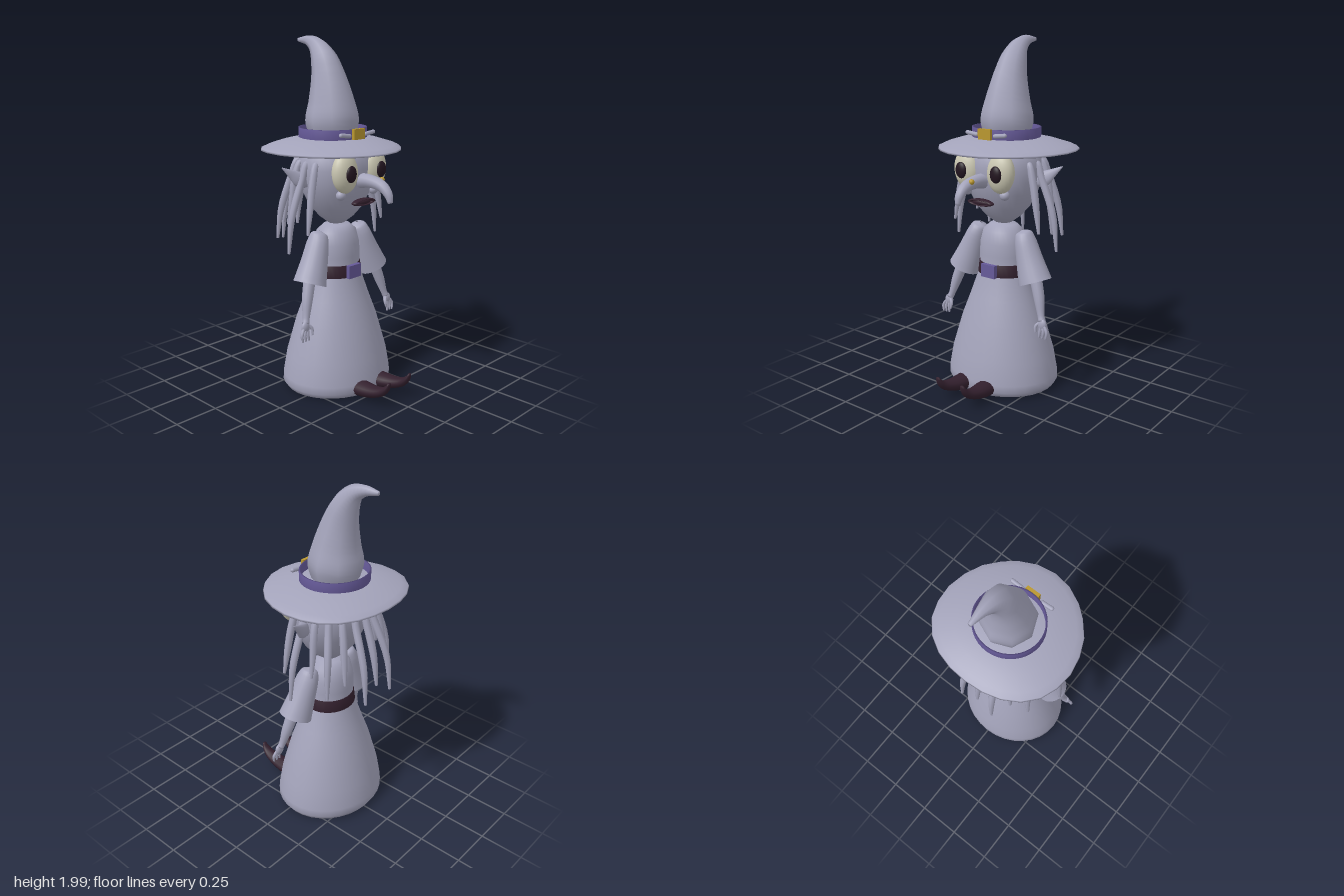
import * as THREE from 'three';

const V = (x, y, z) => new THREE.Vector3(x, y, z);
const paint = (name, color) => {
  const m = new THREE.MeshStandardMaterial({ color, side: THREE.DoubleSide });
  m.name = name;
  return m;
};

// Skin between matching rings of points, optionally closed at both ends
function skin(rings, capped = true) {
  const n = rings[0].length, pos = [], idx = [];
  rings.forEach(r => r.forEach(p => pos.push(p.x, p.y, p.z)));
  for (let i = 0; i < rings.length - 1; i++) {
    for (let j = 0; j < n; j++) {
      const k = (j + 1) % n, a = i * n + j, b = i * n + k;
      idx.push(a, b, a + n, b, b + n, a + n);
    }
  }
  if (capped) {
    [0, rings.length - 1].forEach((row, end) => {
      const c = rings[row].reduce((s, p) => s.add(p), V(0, 0, 0)).divideScalar(n);
      const ci = pos.length / 3;
      pos.push(c.x, c.y, c.z);
      for (let j = 0; j < n; j++) {
        const a = row * n + j, b = row * n + (j + 1) % n;
        if (end) idx.push(ci, a, b); else idx.push(ci, b, a);
      }
    });
  }
  const g = new THREE.BufferGeometry();
  g.setAttribute('position', new THREE.Float32BufferAttribute(pos, 3));
  g.setIndex(idx);
  g.computeVertexNormals();
  return g;
}

// Tapered tube through stations [x, y, z, radius, second radius]
function loft(stations, { sides = 12, steps = 16, ref = V(1, 0, 0), capped = true } = {}) {
  const path = new THREE.CatmullRomCurve3(stations.map(s => V(s[0], s[1], s[2])));
  const size = new THREE.CatmullRomCurve3(stations.map(s => V(s[3], s[4] ?? s[3], 0)), false, 'catmullrom');
  const rings = [];
  for (let i = 0; i <= steps; i++) {
    const p = path.getPoint(i / steps), t = path.getTangent(i / steps), r = size.getPoint(i / steps);
    const u = ref.clone().addScaledVector(t, -ref.dot(t)).normalize();
    const v = t.clone().cross(u);
    rings.push(Array.from({ length: sides }, (_, j) => {
      const a = j / sides * Math.PI * 2;
      return p.clone().addScaledVector(u, Math.cos(a) * r.x).addScaledVector(v, Math.sin(a) * r.y);
    }));
  }
  return skin(rings, capped);
}

const lathe = (pts, sides = 32) =>
  new THREE.LatheGeometry(pts.map(p => new THREE.Vector2(p[0], p[1])), sides);
const ball = (rx, ry, rz) => new THREE.SphereGeometry(1, 24, 16).scale(rx, ry, rz);

export function createModel() {
  const root = new THREE.Group();
  root.name = 'witch';
  const grey = paint('lavender grey', 0xa3a3ba), dark = paint('dark plum', 0x33202e);
  const purple = paint('purple', 0x665a99), gold = paint('gold', 0xb9972f);
  const cream = paint('cream', 0xcac7b2), black = paint('pupil black', 0x22151f);
  const add = (name, geo, mat, x = 0, y = 0, z = 0) => {
    const m = new THREE.Mesh(geo, mat);
    m.name = name;
    m.position.set(x, y, z);
    root.add(m);
    return m;
  };

  // Dress and belt
  add('dress', lathe([[0, 0.005], [0.2, 0.005], [0.315, 0.01], [0.335, 0.04], [0.332, 0.08], [0.31, 0.2],
    [0.25, 0.4], [0.2, 0.53], [0.153, 0.66], [0.14, 0.72], [0.143, 0.78], [0.138, 0.85], [0.12, 0.92],
    [0.08, 0.955], [0, 0.967]]).scale(1, 1, 0.88), grey, 0, 0, -0.053);
  add('belt', lathe([[0.14, 0.665], [0.153, 0.665], [0.145, 0.735], [0.13, 0.735]]).scale(1, 1, 0.88),
    dark, 0, 0, -0.053);
  add('beltBuckle', new THREE.BoxGeometry(0.095, 0.075, 0.025), purple, 0, 0.7, 0.085);

  // Head
  add('head', lathe([[0, 0.953], [0.05, 0.965], [0.105, 1.005], [0.16, 1.065], [0.205, 1.15], [0.225, 1.22],
    [0.231, 1.29], [0.222, 1.36], [0.18, 1.41], [0, 1.43]]).scale(1, 1, 0.88), grey, 0, 0, -0.05);
  add('nose', loft([[0, 1.225, 0.11, 0.045], [0, 1.232, 0.2, 0.037], [0, 1.215, 0.29, 0.031],
    [0, 1.175, 0.335, 0.024], [0, 1.13, 0.35, 0.014]]), grey);
  add('noseWart', ball(0.015, 0.015, 0.015), gold, 0.027, 1.245, 0.265);

  // Mouth
  const lips = new THREE.TorusGeometry(1, 0.28, 10, 28).scale(0.068, 0.015, 0.07);
  add('lips', lips, dark, 0, 1.11, 0.155);
  add('mouth', ball(0.075, 0.02, 0.025), dark, 0, 1.11, 0.145);

  // Hair strands around the sides and back
  const lengths = [0.95, 0.84, 0.98, 0.88, 0.95, 0.83, 0.9];
  for (let i = 0; i < 13; i++) {
    const a = THREE.MathUtils.degToRad(75 + i * 17.5);
    const end = lengths[(i < 7 ? i : 12 - i)];
    const at = (r, y, w) => [Math.sin(a) * r, y, -0.055 + Math.cos(a) * r, w];
    const reach = 0.27 + (0.98 - end) * 0.4;
    add('hairStrand', loft([at(0.17, 1.3, 0.014), at(0.215, 1.325, 0.018), at(0.25, 1.24, 0.021),
      at(reach, (1.24 + end) / 2, 0.019), at(reach + 0.025, end, 0.008)],
    { sides: 8, steps: 14, ref: V(Math.cos(a), 0, -Math.sin(a)) }), grey);
  }

  // Hat brim: egg-shaped outline, front to back
  const half = [[0, 0.315], [0.105, 0.298], [0.202, 0.25], [0.268, 0.195], [0.338, 0.112], [0.38, 0.015],
    [0.4, -0.09], [0.39, -0.19], [0.357, -0.28], [0.29, -0.357], [0.202, -0.408], [0.105, -0.435], [0, -0.443]];
  const outline = [...half, ...half.slice(1, -1).reverse().map(p => [-p[0], p[1]])];
  const brimRings = [[0.3, 1.41], [0.7, 1.398], [0.96, 1.381], [1, 1.385], [0.99, 1.394], [0.9, 1.41],
    [0.7, 1.434], [0.48, 1.452], [0.2, 1.46]];
  add('hatBrim', skin(brimRings.map(([s, y]) =>
    outline.map(([x, z]) => V(x * s, y, -0.085 + (z + 0.085) * s)))), grey);

  // Hat cone bending backwards, band and ornaments
  add('hatCone', loft([[0, 1.44, -0.085, 0.125], [0, 1.54, -0.085, 0.15], [0, 1.65, -0.092, 0.127],
    [0, 1.78, -0.115, 0.096], [0, 1.87, -0.147, 0.075], [0, 1.94, -0.2, 0.05],
    [0, 1.97, -0.265, 0.03], [0, 1.975, -0.35, 0.011]], { sides: 8, steps: 28 }), grey);
  add('hatBand', lathe([[0.187, 1.445], [0.196, 1.445], [0.196, 1.505], [0.187, 1.505], [0.187, 1.445]], 40)
    .scale(1, 1, 0.96), purple, 0, 0, -0.08);
  add('hatBuckle', new THREE.BoxGeometry(0.083, 0.058, 0.018), gold, 0, 1.48, 0.117);

  for (const s of [1, -1]) {
    const side = s > 0 ? 'left' : 'right';
    const pair = (name, geo, mat, x, y, z) => add(side + name, geo, mat, s * x, y, z);
    const limb = (name, pts, mat, opts) => add(side + name, loft(pts.map(p => [s * p[0], ...p.slice(1)]), opts), mat);

    // Hat bones
    const bone = pair('HatBone', new THREE.CapsuleGeometry(0.012, 0.065, 6, 10), grey, 0.095, 1.477, 0.108);
    bone.rotation.z = s * (-Math.PI / 2 + 0.12);

    // Eyes, cheeks and ears
    const eye = pair('Eye', ball(0.083, 0.112, 0.058), cream, 0.115, 1.28, 0.125);
    eye.rotation.z = -s * 0.08;
    pair('Pupil', ball(0.037, 0.046, 0.02), black, 0.119, 1.28, 0.176);
    pair('CheekWart', ball(0.028, 0.027, 0.027), grey, 0.13, 1.157, 0.11);
    limb('Ear', [[0.2, 1.22, -0.07, 0.018, 0.03], [0.25, 1.235, -0.08, 0.02, 0.045],
      [0.3, 1.27, -0.095, 0.013, 0.025], [0.355, 1.31, -0.11, 0.002, 0.003]], grey, { ref: V(0, 0, 1) });

    // Sleeve and arm
    limb('Sleeve', [[0.15, 0.94, -0.035, 0.008], [0.155, 0.925, -0.035, 0.045], [0.172, 0.875, -0.03, 0.06, 0.065],
      [0.21, 0.77, -0.02, 0.077, 0.077], [0.254, 0.66, -0.01, 0.096, 0.092]], grey, { sides: 20, capped: false });
    limb('Arm', [[0.235, 0.76, -0.015, 0.034], [0.27, 0.66, 0, 0.034], [0.3, 0.57, 0.015, 0.03],
      [0.322, 0.49, 0.03, 0.02], [0.333, 0.46, 0.037, 0.02]], grey);

    // Hand with three fingers and a thumb
    pair('Palm', ball(0.028, 0.034, 0.017), grey, 0.338, 0.443, 0.042);
    for (let f = 0; f < 3; f++) {
      const x = 0.329 + f * 0.012, spread = 0.327 + f * 0.022;
      limb('Finger', [[x, 0.44, 0.045, 0.009], [spread + 0.004, 0.405, 0.052, 0.009], [spread, 0.367, 0.056, 0.005]],
        grey, { sides: 8, steps: 8 });
    }
    limb('Thumb', [[0.325, 0.455, 0.045, 0.009], [0.306, 0.43, 0.058, 0.009], [0.31, 0.395, 0.065, 0.005]],
      grey, { sides: 8, steps: 8 });

    // Pointed boot with curled toe
    limb('Boot', [[0.078, 0.055, 0.1, 0.055, 0.044], [0.08, 0.055, 0.22, 0.057, 0.045],
      [0.085, 0.066, 0.32, 0.045, 0.034], [0.087, 0.088, 0.385, 0.034, 0.025],
      [0.087, 0.12, 0.42, 0.023, 0.015], [0.087, 0.15, 0.435, 0.012, 0.007]], dark);
  }
  return root;
}
